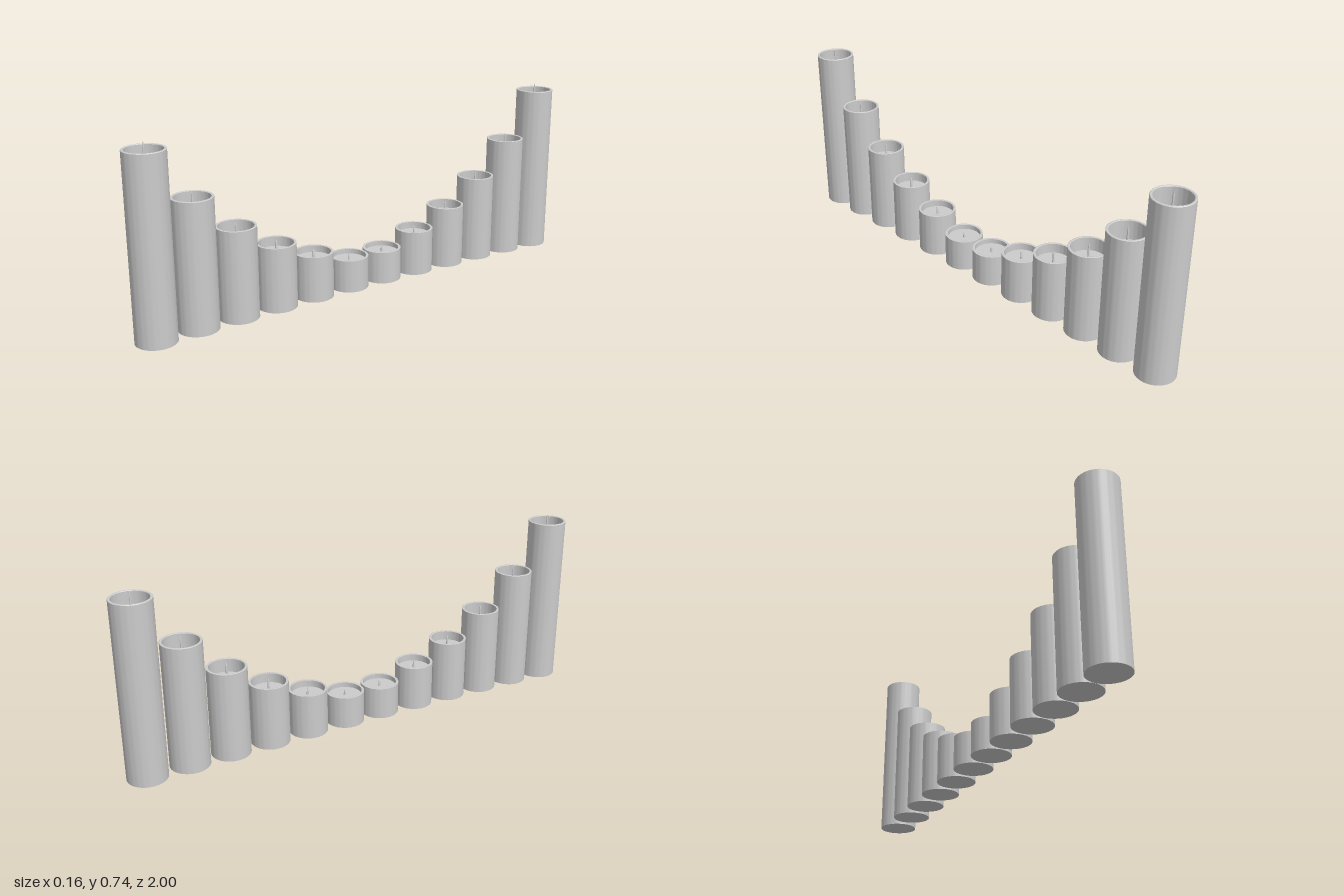
import * as THREE from 'three';
import { toCreasedNormals } from 'three/addons/utils/BufferGeometryUtils.js';

const material = new THREE.MeshStandardMaterial({ color: 0xcccccc });
const lathe = (points, sides) => toCreasedNormals(
  new THREE.LatheGeometry(points.map(([x, y]) => new THREE.Vector2(x, y)), sides), 0.6);

export function createModel() {
  const group = new THREE.Group();
  const pairs = 6, radius = 0.078, inner = 0.068, pivot = 0.02;
  const height = 0.712, pool = 0.605, tip = 0.738;

  // Hollow-topped wax body: base, outer wall, rim, inner wall, wax surface
  const body = lathe([
    [0, 0], [radius, 0], [radius, height - 0.002], [radius - 0.002, height],
    [inner + 0.002, height], [inner, height - 0.002], [inner, pool], [0, pool],
  ], 64);
  // Thin tapering wick
  const wick = lathe([
    [0.005, pool - 0.005], [0.004, pool + 0.04], [0.0035, height], [0.0012, tip - 0.004], [0, tip],
  ], 12);

  // Candles shrink in height toward the middle of the row, mirrored front to back
  for (let i = 0; i < pairs; i++) {
    const scale = Math.pow(0.714, i);
    for (const side of [1, -1]) {
      const candle = new THREE.Group();
      candle.name = `candle${side > 0 ? 'Front' : 'Back'}${i + 1}`;
      for (const [name, geometry] of [['waxBody', body], ['wick', wick]]) {
        const mesh = new THREE.Mesh(geometry, material);
        mesh.name = name;
        candle.add(mesh);
      }
      candle.scale.y = scale;
      candle.position.set(0, pivot * (1 - scale), side * (0.922 - i * 0.168));
      group.add(candle);
    }
  }
  return group;
}
